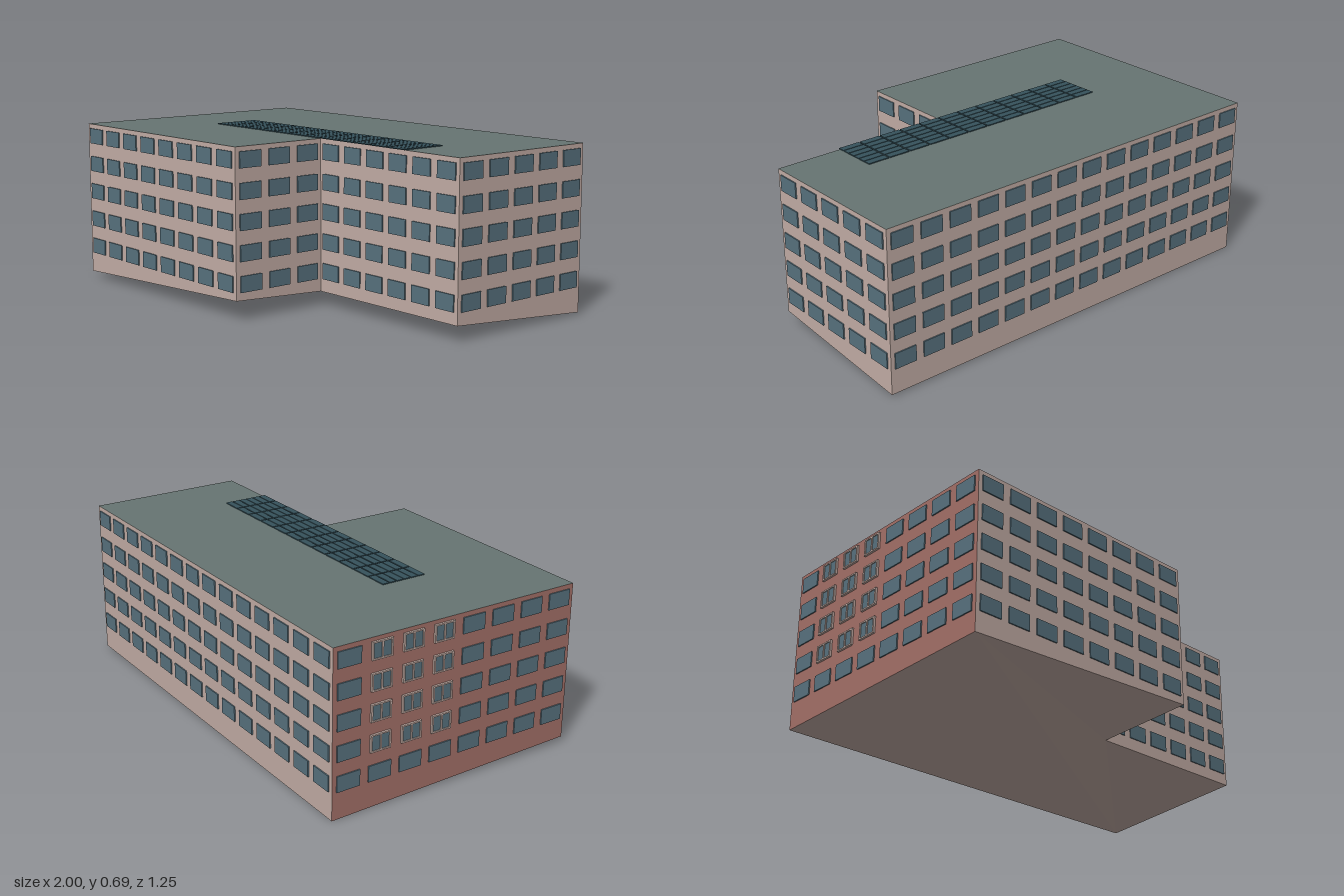
import * as THREE from 'three';
import { mergeGeometries } from 'three/addons/utils/BufferGeometryUtils.js';

const mat = (name, color) => {
  const m = new THREE.MeshStandardMaterial({ color });
  m.name = name;
  return m;
};

// Footprint corners [x, z, ground height], anticlockwise seen from above
const corners = [
  [-0.995, 0.48, 0.027], [0.08, 0.62, 0.083], [0.135, 0.195, 0.06],
  [0.908, 0.292, 0.065], [0.995, -0.39, 0.008], [-0.853, -0.627, 0],
];
const TOP = 0.69;
const windowCounts = [8, 3, 6, 5, 14, 8];
const floors = [0.147, 0.27, 0.393, 0.515, 0.638];

// Flat surface from triangles of points
function surface(triangles) {
  const g = new THREE.BufferGeometry();
  g.setAttribute('position', new THREE.Float32BufferAttribute(triangles.flat(2), 3));
  g.computeVertexNormals();
  return g;
}

function box(w, h, d, x, y, z) {
  return new THREE.BoxGeometry(w, h, d).translate(x, y, z);
}

export function createModel() {
  const model = new THREE.Group();
  model.name = 'building';
  const pink = mat('pinkPlaster', 0xc4aea6);
  const red = mat('redPlaster', 0xa47068);
  const glass = mat('windowGlass', 0x58727f);
  const slate = mat('greyRoof', 0x667572);
  const solar = mat('solarBlue', 0x36525c);
  const add = (parent, name, geometry, material) => {
    const m = new THREE.Mesh(geometry, material);
    m.name = name;
    parent.add(m);
    return m;
  };

  // Walls, each with its own rows of windows
  corners.forEach((a, i) => {
    const b = corners[(i + 1) % 6];
    const side = i === 5;
    const p = [a[0], a[2], a[1]], q = [b[0], b[2], b[1]];
    const r = [b[0], TOP, b[1]], s = [a[0], TOP, a[1]];
    add(model, 'wall' + (i + 1), surface([[p, q, r], [p, r, s]]), side ? red : pink);

    const dx = b[0] - a[0], dz = b[1] - a[1];
    const pitch = Math.hypot(dx, dz) / windowCounts[i];
    const panes = [], frames = [];
    for (let k = 0; k < windowCounts[i]; k++) {
      const x = (k + 0.5) * pitch;
      floors.forEach((y, f) => {
        // A block of narrower framed windows on the side wall
        const framed = side && f > 0 && k > 0 && k < 4;
        const w = pitch * (framed ? 0.6 : 0.73);
        panes.push(box(w, 0.066, 0.01, x, y, 0));
        if (!framed) return;
        for (const e of [-0.5, 0, 0.5]) frames.push(box(0.007, 0.072, 0.018, x + e * w, y, 0));
        for (const e of [-0.033, 0.033]) frames.push(box(w, 0.006, 0.018, x, y + e, 0));
      });
    }
    const facade = new THREE.Group();
    facade.name = 'facade' + (i + 1);
    facade.position.set(a[0], 0, a[1]);
    facade.rotation.y = Math.atan2(-dz, dx);
    add(facade, 'windows', mergeGeometries(panes), glass);
    if (frames.length) add(facade, 'windowFrames', mergeGeometries(frames), pink);
    model.add(facade);
  });

  // Flat roof and the underside that follows the sloping ground
  const tris = [[0, 1, 2], [2, 3, 4], [0, 2, 4], [0, 4, 5]];
  const roof = tris.map(t => t.map(i => [corners[i][0], TOP, corners[i][1]]));
  const base = tris.map(t => [...t].reverse().map(i => [corners[i][0], corners[i][2], corners[i][1]]));
  add(model, 'roof', surface(roof), slate);
  add(model, 'underside', surface(base), pink);

  // Solar panels in a regular grid
  const cols = 12, rows = 6, len = 1.2, wid = 0.205;
  const panels = [];
  for (let c = 0; c < cols; c++) {
    for (let r = 0; r < rows; r++) {
      panels.push(box(len / cols - 0.006, 0.004, wid / rows - 0.004,
        ((c + 0.5) / cols - 0.5) * len, 0, ((r + 0.5) / rows - 0.5) * wid));
    }
  }
  const array = add(model, 'solarPanels', mergeGeometries(panels), solar);
  array.position.set(0.045, TOP + 0.002, 0.086);
  array.rotation.y = -0.128;
  return model;
}
